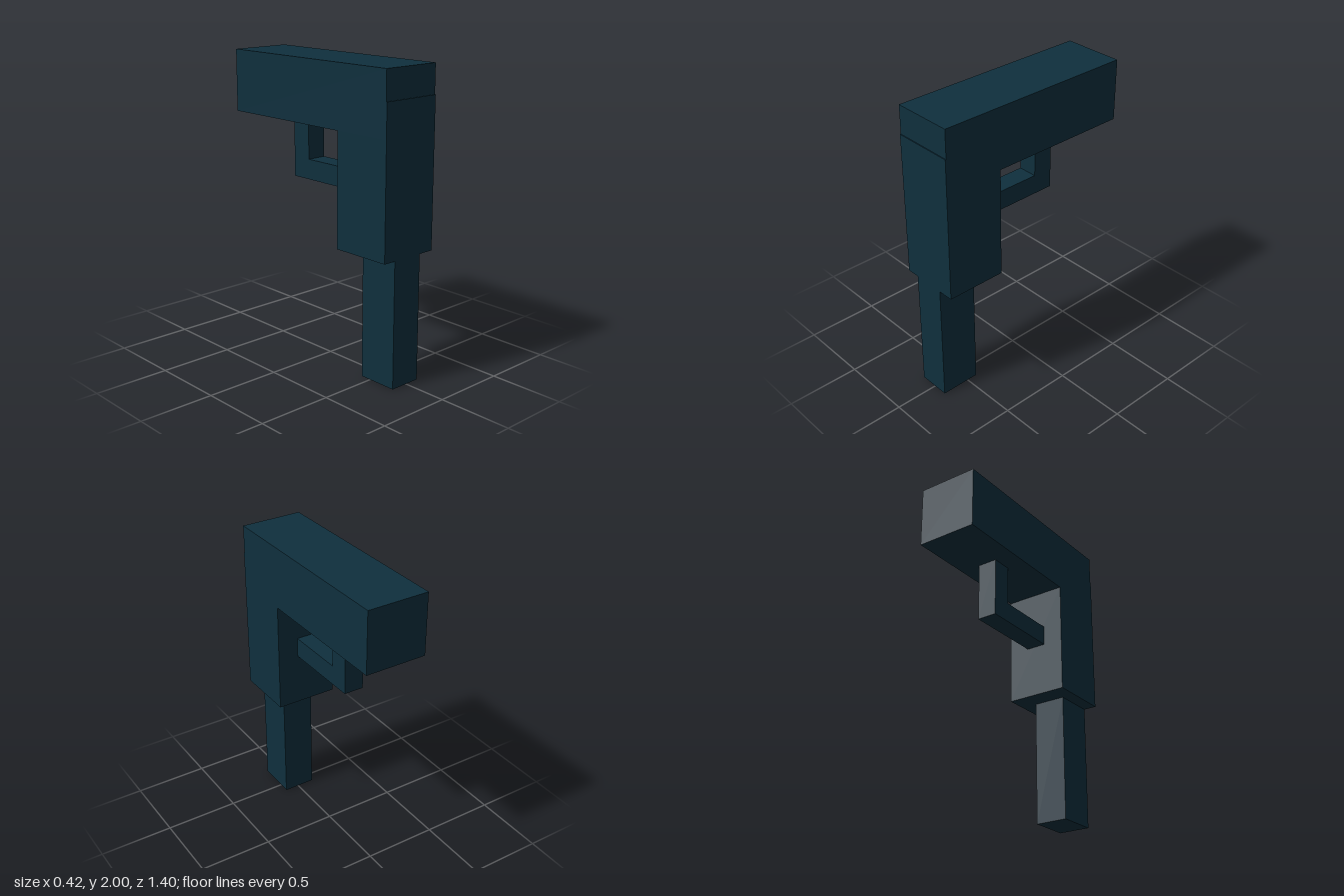
import * as THREE from 'three';

export function createModel() {
  const model = new THREE.Group();
  model.name = 'blockModel';

  const darkTeal = new THREE.MeshStandardMaterial({ color: 0x0f2f3d });
  darkTeal.name = 'darkTeal';

  // Box given by its extent along each axis
  function addBlock(name, [x0, x1], [y0, y1], [z0, z1]) {
    const geometry = new THREE.BoxGeometry(x1 - x0, y1 - y0, z1 - z0);
    const mesh = new THREE.Mesh(geometry, darkTeal);
    mesh.position.set((x0 + x1) / 2, (y0 + y1) / 2, (z0 + z1) / 2);
    mesh.name = name;
    model.add(mesh);
  }

  const bodyWidth = [-0.208, 0.208];
  const guardWidth = [-0.07, 0.065];

  // Long upper body, set back slightly from the front of the grip
  addBlock('upperBody', bodyWidth, [1.587, 2], [-0.698, 0.692]);

  // Grip, with a small ledge where it overlaps the upper body
  addBlock('grip', bodyWidth, [0.837, 1.587], [0.285, 0.698]);
  addBlock('gripLedge', bodyWidth, [1.587, 1.81], [0.692, 0.698]);

  // Narrow block below the grip, a little off centre
  addBlock('lowerGrip', [-0.12, 0.1], [0, 0.837], [0.425, 0.698]);

  // Guard: a bar from the grip and a post up to the body
  addBlock('guardBar', guardWidth, [1.19, 1.323], [-0.133, 0.285]);
  addBlock('guardPost', guardWidth, [1.19, 1.587], [-0.272, -0.133]);

  return model;
}
